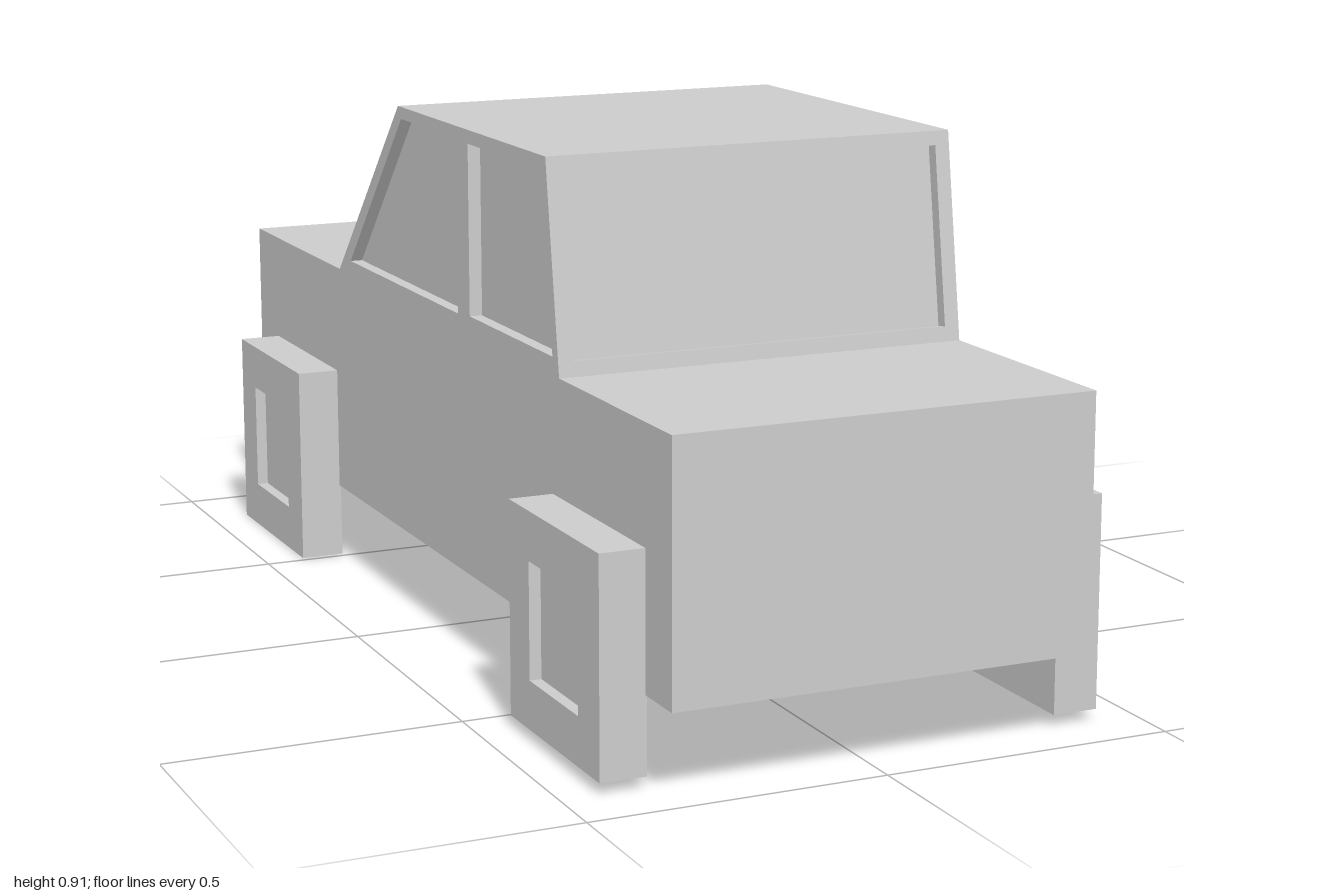
import * as THREE from 'three';

const material = new THREE.MeshStandardMaterial({ color: 0xcccccc, flatShading: true });
const smooth = new THREE.MeshStandardMaterial({ color: 0xcccccc });
const HALF = 0.3575;   // half width of body and cabin
const RECESS = 0.022;  // depth of the window recesses
const DECK = 0.56, ROOF = 0.905;

const points = (list) => list.map(([x, y]) => new THREE.Vector2(x, y));
const rect = (x0, y0, x1, y1) => [[x0, y0], [x1, y0], [x1, y1], [x0, y1]];

// Flat plate with openings, thickness along +z
function plate(outline, holes, depth) {
  const shape = new THREE.Shape(points(outline));
  holes.forEach((h) => shape.holes.push(new THREE.Path(points(h))));
  return new THREE.ExtrudeGeometry(shape, { depth, bevelEnabled: false });
}

function add(parent, name, geometry, x = 0, y = 0, z = 0, mat = material) {
  const mesh = new THREE.Mesh(geometry, mat);
  mesh.name = name;
  mesh.position.set(x, y, z);
  parent.add(mesh);
  return mesh;
}

function createCabin() {
  const cabin = new THREE.Group();
  cabin.name = 'cabin';

  // Inner block forms the recessed window panes
  const core = plate([[0.558, DECK], [0.509, 0.895], [-0.119, 0.895], [-0.444, DECK]], [], 2 * (HALF - RECESS));
  add(cabin, 'windowPanes', core.rotateY(-Math.PI / 2), HALF - RECESS);

  // Side frames with two windows each
  const side = plate(
    [[0.58, DECK], [0.53, ROOF], [-0.14, ROOF], [-0.475, DECK]],
    [
      [[0.555, 0.592], [0.508, 0.882], [0.195, 0.882], [0.195, 0.592]],
      [[0.14, 0.587], [0.14, 0.884], [-0.125, 0.884], [-0.41, 0.587]],
    ], RECESS).rotateY(-Math.PI / 2);
  add(cabin, 'leftWindowFrame', side, HALF);
  add(cabin, 'rightWindowFrame', side, -HALF + RECESS);

  // Sloping end frames: foot z, run of the slope, opening bottom and top, turn
  for (const [name, z, run, bottom, top, turn] of [
    ['frontWindowFrame', 0.58, 0.05, 0.027, 0.325, 0],
    ['backWindowFrame', -0.475, 0.335, 0.023, 0.453, Math.PI],
  ]) {
    const rise = ROOF - DECK;
    const frame = plate(rect(-HALF, 0, HALF, Math.hypot(run, rise)),
      [rect(-0.332, bottom, 0.332, top)], RECESS).translate(0, 0, -RECESS);
    add(cabin, name, frame, 0, DECK, z).rotation.set(-Math.atan2(run, rise), turn, 0, 'YXZ');
  }

  add(cabin, 'roof', new THREE.BoxGeometry(2 * HALF, 0.015, 0.67), 0, ROOF - 0.0075, 0.195);
  return cabin;
}

// Square wheel with a recessed square on both faces
function createWheel(name, x, y, z) {
  const wheel = new THREE.Group();
  wheel.name = name;
  const s = 0.178, h = 0.097, thick = 0.078;
  const rim = plate(rect(-s, -s, s, s), [rect(-h, -h, h, h)], thick);
  add(wheel, 'rim', rim.translate(0, 0, -thick / 2).rotateY(Math.PI / 2));
  add(wheel, 'hub', new THREE.BoxGeometry(thick - 0.04, 2 * h, 2 * h));
  wheel.position.set(x, y, z);
  return wheel;
}

export function createModel() {
  const model = new THREE.Group();
  model.name = 'car';
  const car = new THREE.Group();
  car.name = 'carParts';
  model.add(car);

  add(car, 'body', new THREE.BoxGeometry(2 * HALF, 0.42, 1.967), 0, 0.352, 0.0175);
  car.add(createCabin());

  for (const [side, sx] of [['Left', 1], ['Right', -1]]) {
    car.add(createWheel('frontWheel' + side, sx * 0.394, 0.192, 0.729));
    car.add(createWheel('backWheel' + side, sx * 0.394, 0.186, -0.679));
    // Lamp rings on the back face
    add(car, 'lampRing' + side, new THREE.TorusGeometry(0.07, 0.021, 16, 40), sx * 0.214, 0.418, -0.975, smooth);
  }

  // The whole car leans and turns very slightly
  car.rotation.set(-0.0076, -0.005, 0);
  return model;
}
